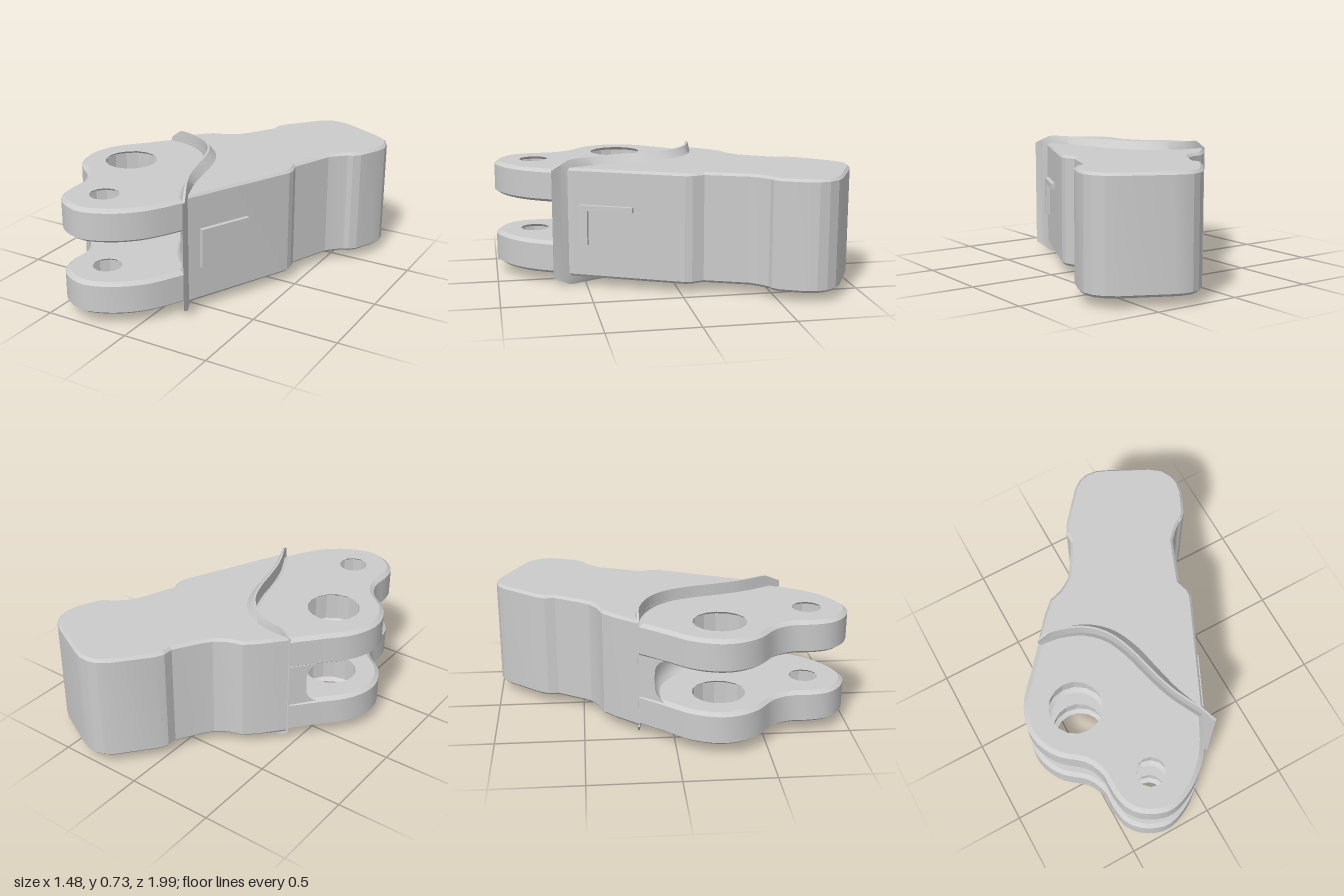
import * as THREE from 'three';
import { toCreasedNormals } from 'three/addons/utils/BufferGeometryUtils.js';

const material = new THREE.MeshStandardMaterial({ color: 0xcccccc, side: THREE.DoubleSide });

// Smooth plan curve through [x, z] points
const planCurve = pts => new THREE.CatmullRomCurve3(
  pts.map(([x, z]) => new THREE.Vector3(x, 0, z)), false, 'centripetal');

// Horizontal slab from an [x, z] outline with chamfered rims
function slab(name, outline, y0, y1, chamfer, rise, holes = []) {
  const toV2 = ([x, z]) => new THREE.Vector2(x, -z);
  const shape = new THREE.Shape(outline.map(toV2));
  for (const [cx, cz, r, n] of holes) {
    const ring = [];
    for (let i = 0; i < n; i++) {
      const a = (i / n) * Math.PI * 2;
      ring.push(toV2([cx + r * Math.cos(a), cz + r * Math.sin(a)]));
    }
    shape.holes.push(new THREE.Path(ring));
  }
  const geo = new THREE.ExtrudeGeometry(shape, {
    depth: y1 - y0 - 2 * rise, bevelEnabled: true, bevelSegments: 1,
    bevelSize: chamfer, bevelThickness: rise, bevelOffset: -chamfer,
  });
  geo.rotateX(-Math.PI / 2).translate(0, y0 + rise, 0);
  const mesh = new THREE.Mesh(toCreasedNormals(geo, 0.3), material);
  mesh.name = name;
  return mesh;
}

// Grid surface: place(u, v) gives a point
function surface(name, nu, nv, place) {
  const geo = new THREE.PlaneGeometry(1, 1, nu, nv);
  const pos = geo.attributes.position;
  for (let j = 0, k = 0; j <= nv; j++) {
    for (let i = 0; i <= nu; i++, k++) {
      const p = place(i, j);
      pos.setXYZ(k, p.x, p.y, p.z);
    }
  }
  const mesh = new THREE.Mesh(toCreasedNormals(geo, 0.5), material);
  mesh.name = name;
  return mesh;
}

export function createModel() {
  const group = new THREE.Group();
  group.name = 'forkedLink';

  // Seam between the body and the fork
  const seam = [[-0.46, -0.19], [-0.35, -0.18], [-0.2, -0.12], [-0.1, -0.02],
    [-0.04, 0.12], [0, 0.28], [0.05, 0.44], [0.14, 0.62]];
  const seamCurve = planCurve(seam);
  const seamPts = seamCurve.getSpacedPoints(20).map(p => [p.x, p.z]);

  // Solid body with a rounded, widened end
  const bodySide = [[0.42, 0.02], [0.437, -0.02], [0.44, -0.06], [0.42, -0.13],
    [0.46, -0.23], [0.515, -0.37], [0.55, -0.41], [0.6, -0.455], [0.63, -0.465],
    [0.665, -0.5], [0.72, -0.62], [0.735, -0.69], [0.725, -0.75], [0.69, -0.81],
    [0.63, -0.855], [0.39, -0.975], [0.34, -0.995], [0.28, -1], [0.23, -0.985],
    [0.18, -0.95], [0.02, -0.76], [-0.005, -0.71], [-0.005, -0.65],
    [-0.09, -0.51], [-0.13, -0.455], [-0.2, -0.41], [-0.28, -0.385], [-0.35, -0.32]];
  group.add(slab('body', [...seamPts, ...bodySide], 0.055, 0.685, 0.015, 0.015));

  // Two matching fork plates with a large and a small pin hole
  const plateEdge = planCurve([[0.14, 0.62], [0.06, 0.77], [0, 0.85], [-0.12, 0.945],
    [-0.27, 0.995], [-0.4, 0.95], [-0.475, 0.87], [-0.5, 0.76], [-0.5, 0.65],
    [-0.545, 0.55], [-0.67, 0.44], [-0.73, 0.33], [-0.74, 0.22], [-0.69, 0.08],
    [-0.58, -0.05], [-0.46, -0.19]]).getSpacedPoints(44).map(p => [p.x, p.z]);
  const plateOutline = [...plateEdge, ...seamPts.slice(1, -1)];
  const pinHoles = [[-0.455, 0.25, 0.175, 16], [-0.27, 0.765, 0.108, 12]];
  for (const [name, y] of [['lowerForkPlate', 0.06], ['upperForkPlate', 0.48]]) {
    group.add(slab(name, plateOutline, y, y + 0.19, 0.025, 0.018, pinHoles));
  }

  // Hollowed wall between the plates, filleted into both of them
  const wallCurve = planCurve([[-0.52, -0.11], [-0.42, -0.11], [-0.3, -0.08],
    [-0.18, 0.01], [-0.12, 0.15], [-0.07, 0.3], [0.02, 0.47], [0.14, 0.61]]);
  group.add(surface('gapWall', 25, 12, (i, j) => {
    const u = Math.max(0, i - 1) / 24;
    const t = (2 * j) / 12 - 1;
    const reach = i === 0 ? 0 : 1 + 0.6 * t ** 4; // first column closes the end
    const p = seamCurve.getPoint(u).lerp(wallCurve.getPoint(u), reach);
    p.y = 0.365 + 0.125 * t;
    return p;
  }));

  // Thin lip standing proud along the seam, tapered at both ends
  const lipCurve = planCurve([...seam, [0.175, 0.69]]);
  group.add(surface('seamLip', 36, 6, (i, j) => {
    const u = i / 36;
    const p = lipCurve.getPointAt(u);
    const tan = lipCurve.getTangentAt(u);
    const taper = Math.min(1, u / 0.05, (1 - u) / 0.09);
    const half = 0.315 + 0.05 * taper;
    const foot = 0.008 + 0.05 * Math.sin(Math.PI * u) * taper;
    const section = [[0, -half], [0, half], [0.012, half], [foot, 0.315],
      [foot, -0.315], [0.012, -half], [0, -half]];
    const [d, h] = section[j];
    return new THREE.Vector3(p.x + tan.z * d, 0.365 + h, p.z - tan.x * d);
  }));

  // Raised angular rib on the flat side face
  const rib = new THREE.Group();
  rib.name = 'sideRib';
  rib.position.set(0.182, 0, 0.53);
  rib.rotation.y = Math.atan2(0.6, 0.28); // local x runs along the face
  for (const [name, x0, x1, y0, y1] of [
    ['uprightRib', 0, 0.045, 0.25, 0.48], ['levelRib', 0.045, 0.31, 0.45, 0.48]]) {
    const bar = new THREE.Mesh(new THREE.BoxGeometry(x1 - x0, y1 - y0, 0.05), material);
    bar.position.set((x0 + x1) / 2, (y0 + y1) / 2, 0);
    bar.name = name;
    rib.add(bar);
  }
  group.add(rib);

  return group;
}
